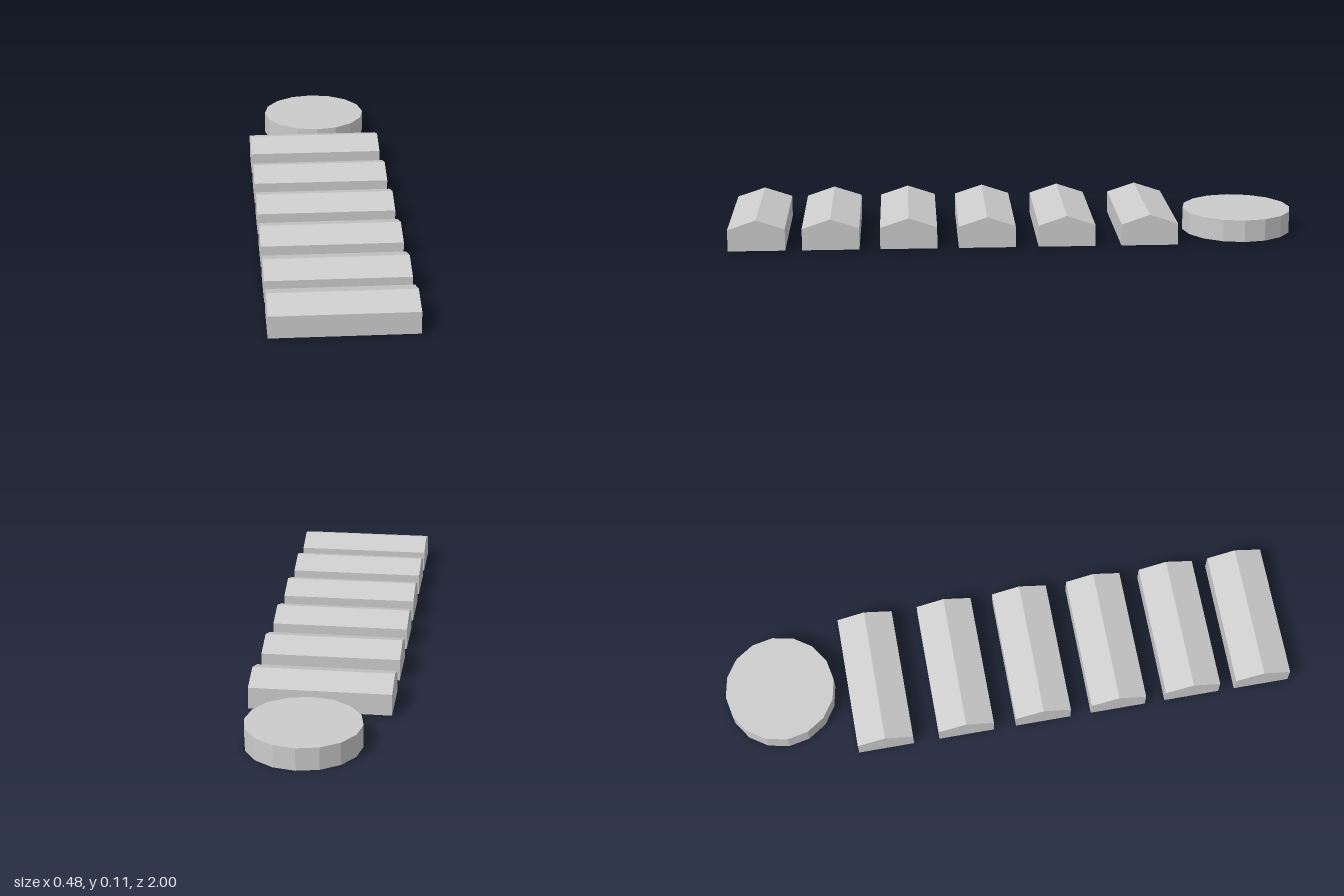
import * as THREE from 'three';

export function createModel() {
  const group = new THREE.Group();
  const material = new THREE.MeshStandardMaterial({ color: 0xcccccc, flatShading: true });

  // Gabled cross-section (across z, up y), extruded along x
  const halfLength = 0.242, halfDepth = 0.099;
  const base = 0.002, eaves = 0.078, ridge = 0.111;
  const profile = new THREE.Shape([
    new THREE.Vector2(-halfDepth, base),
    new THREE.Vector2(halfDepth, base),
    new THREE.Vector2(halfDepth, eaves),
    new THREE.Vector2(0, ridge),
    new THREE.Vector2(-halfDepth, eaves),
  ]);
  const blockGeometry = new THREE.ExtrudeGeometry(profile, { depth: 2 * halfLength, bevelEnabled: false });
  blockGeometry.translate(0, 0, -halfLength).rotateY(Math.PI / 2);

  // Row of long gabled blocks, front to back
  [0.901, 0.645, 0.375, 0.102, -0.176, -0.466].forEach((z, i) => {
    const block = new THREE.Mesh(blockGeometry, material);
    block.name = `gabledBlock${i + 1}`;
    block.position.z = z;
    group.add(block);
  });

  // Round flat-topped block at the back
  const radius = 0.194, height = 0.078;
  const disc = new THREE.Mesh(new THREE.CylinderGeometry(radius, radius, height, 16), material);
  disc.name = 'roundBlock';
  disc.position.set(0.021, height / 2, -1 + radius);
  group.add(disc);

  return group;
}
